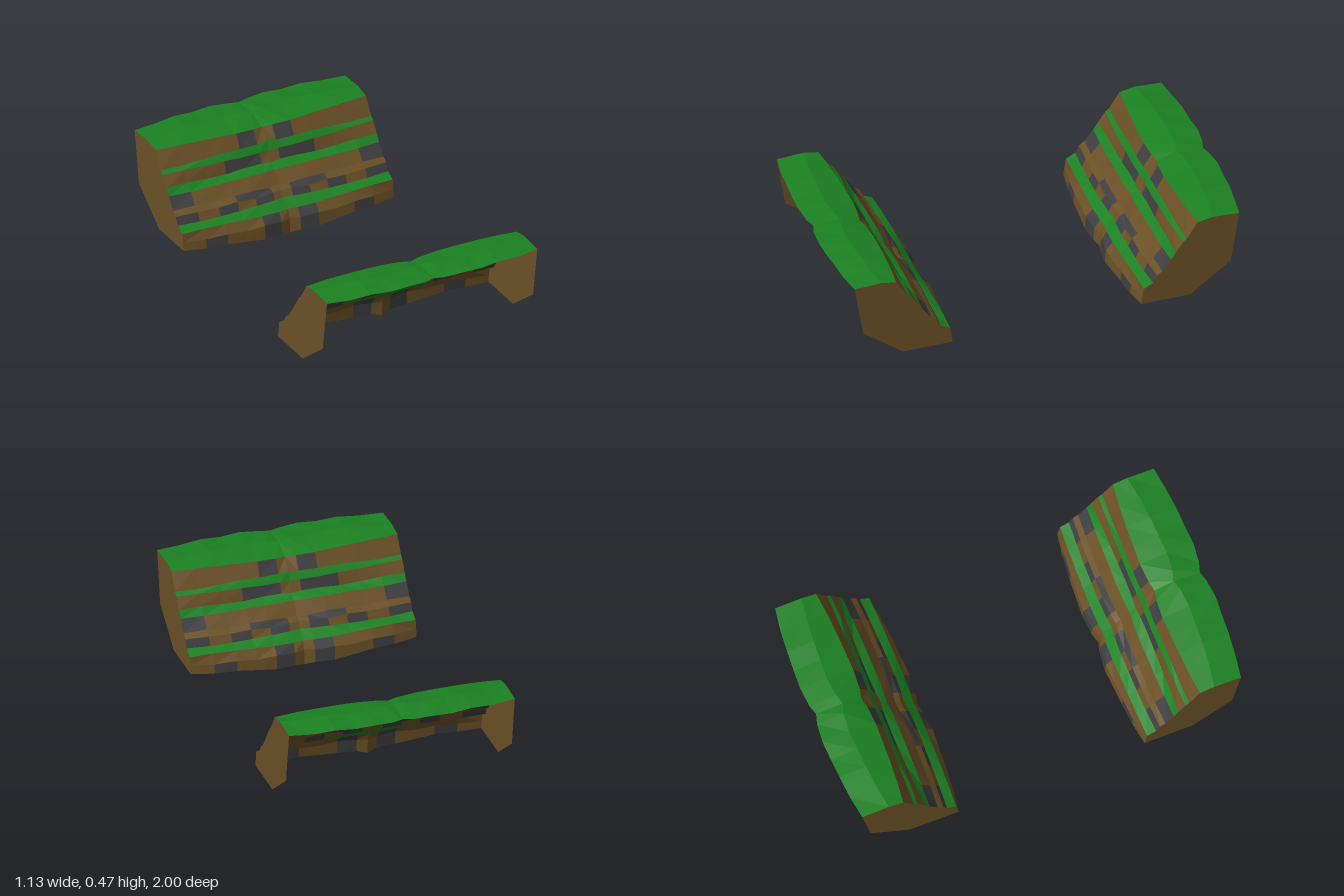
import * as THREE from 'three';

const COLORS = { grass: 0x1b8222, earth: 0x6b5026, stone: 0x3e3e41 };
const materials = {};
for (const [key, color] of Object.entries(COLORS)) {
  materials[key] = new THREE.MeshStandardMaterial({ color, flatShading: true, side: THREE.DoubleSide });
}

// Column positions from the middle to one end; the other half is mirrored
const COLS = [0, 0.05, 0.145, 0.24, 0.34, 0.45, 0.565];
const LAST = COLS.length - 1;
// How the contour lines bow in plan along the columns
const BOW = [0.012, -0.003, -0.012, -0.007, -0.002, 0.008, 0.025];

// Contour line: height at centre, middle and end, depth, strength of the bow
const line = (centre, middle, end, depth, bow) => ({ centre, middle, end, depth, bow });
// Band of cells above its contour line; stone lists the rocky columns
const BANDS = [
  { name: 'footRock', base: 'earth', stone: [1, 4], line: line(0, 0.022, 0.04, 0.447, 1) },
  { name: 'footRockUpper', base: 'earth', stone: [1], line: line(0.075, 0.078, 0.08, 0.453, 1) },
  { name: 'lowerGrassLedge', base: 'grass', stone: [], line: line(0.116, 0.122, 0.124, 0.478, 0.3) },
  { name: 'lowerRock', base: 'earth', stone: [1, 3, 5], line: line(0.156, 0.145, 0.148, 0.522, 0.4) },
  { name: 'rockLip', base: 'earth', stone: [1, 2], line: line(0.187, 0.185, 0.186, 0.541, 0.4) },
  { name: 'middleRock', base: 'earth', stone: [5], line: line(0.204, 0.208, 0.205, 0.568, 0.4) },
  { name: 'middleGrassLedge', base: 'grass', stone: [], line: line(0.262, 0.268, 0.262, 0.614, 0.3) },
  { name: 'upperRock', base: 'earth', stone: [1, 2], line: line(0.287, 0.285, 0.297, 0.652, -0.3) },
  { name: 'upperGrassLedge', base: 'grass', stone: [], line: line(0.336, 0.342, 0.35, 0.674, 0.3) },
  { name: 'crestRock', base: 'earth', stone: [1], line: line(0.38, 0.371, 0.366, 0.695, 0.2) },
  { name: 'grassCrest', base: 'grass', stone: [], line: line(0.431, 0.443, 0.448, 0.737, 0.7) },
  { name: 'grassTop', base: 'grass', stone: [], line: line(0.463, 0.47, 0.462, 0.853, -1) },
];
const LINES = [...BANDS.map((band) => band.line), line(0.452, 0.455, 0.455, 0.988, -1)];

// Point on the rock face: blended height with a slight ripple, bowed depth
function point(row, col) {
  const { centre, middle, end, depth, bow } = LINES[row];
  const i = Math.abs(col);
  const half = LAST / 2;
  const height = i < half
    ? THREE.MathUtils.lerp(centre, middle, i / half)
    : THREE.MathUtils.lerp(middle, end, i / half - 1);
  const ripple = i === LAST ? 0 : 0.004 * Math.sin(i * (2 + row * 1.7));
  return [Math.sign(col) * COLS[i], height + ripple, depth + bow * BOW[i]];
}

function surface(name, positions, key) {
  const geometry = new THREE.BufferGeometry();
  geometry.setAttribute('position', new THREE.Float32BufferAttribute(positions, 3));
  geometry.computeVertexNormals();
  const mesh = new THREE.Mesh(geometry, materials[key]);
  mesh.name = name;
  return mesh;
}

// Flat end wall closing the terraced profile
function endWall(side) {
  const profile = LINES.map((_, row) => {
    const [, y, z] = point(row, LAST);
    return new THREE.Vector2(z, y);
  });
  const back = [new THREE.Vector2(0.92, 0.19), new THREE.Vector2(0.72, 0.04)];
  const geometry = new THREE.ShapeGeometry(new THREE.Shape([...profile, ...back]));
  geometry.rotateY(-Math.PI / 2); // the profile runs along +z
  const mesh = new THREE.Mesh(geometry, materials.earth);
  mesh.position.x = side * COLS[LAST];
  mesh.name = side > 0 ? 'leftEndWall' : 'rightEndWall';
  return mesh;
}

function createCliff(name) {
  const cliff = new THREE.Group();
  cliff.name = name;
  BANDS.forEach((band, row) => {
    const parts = { [band.base]: [], stone: [] };
    for (let c = -LAST; c < LAST; c++) {
      const cell = c < 0 ? -c - 1 : c;
      const key = band.stone.includes(cell) ? 'stone' : band.base;
      const a = point(row, c), b = point(row, c + 1);
      const d = point(row + 1, c), e = point(row + 1, c + 1);
      // The diagonal is mirrored too
      if (c < 0) parts[key].push(...a, ...d, ...e, ...a, ...e, ...b);
      else parts[key].push(...a, ...d, ...b, ...b, ...d, ...e);
    }
    for (const [key, positions] of Object.entries(parts)) {
      if (positions.length) cliff.add(surface(key === 'stone' ? band.name + 'Stones' : band.name, positions, key));
    }
  });
  cliff.add(endWall(1), endWall(-1));
  return cliff;
}

export function createModel() {
  const model = new THREE.Group();
  model.name = 'terracedCliffs';
  const front = createCliff('frontCliff');
  const back = createCliff('backCliff');
  back.rotation.y = Math.PI; // the two banks face each other
  model.add(front, back);
  return model;
}
